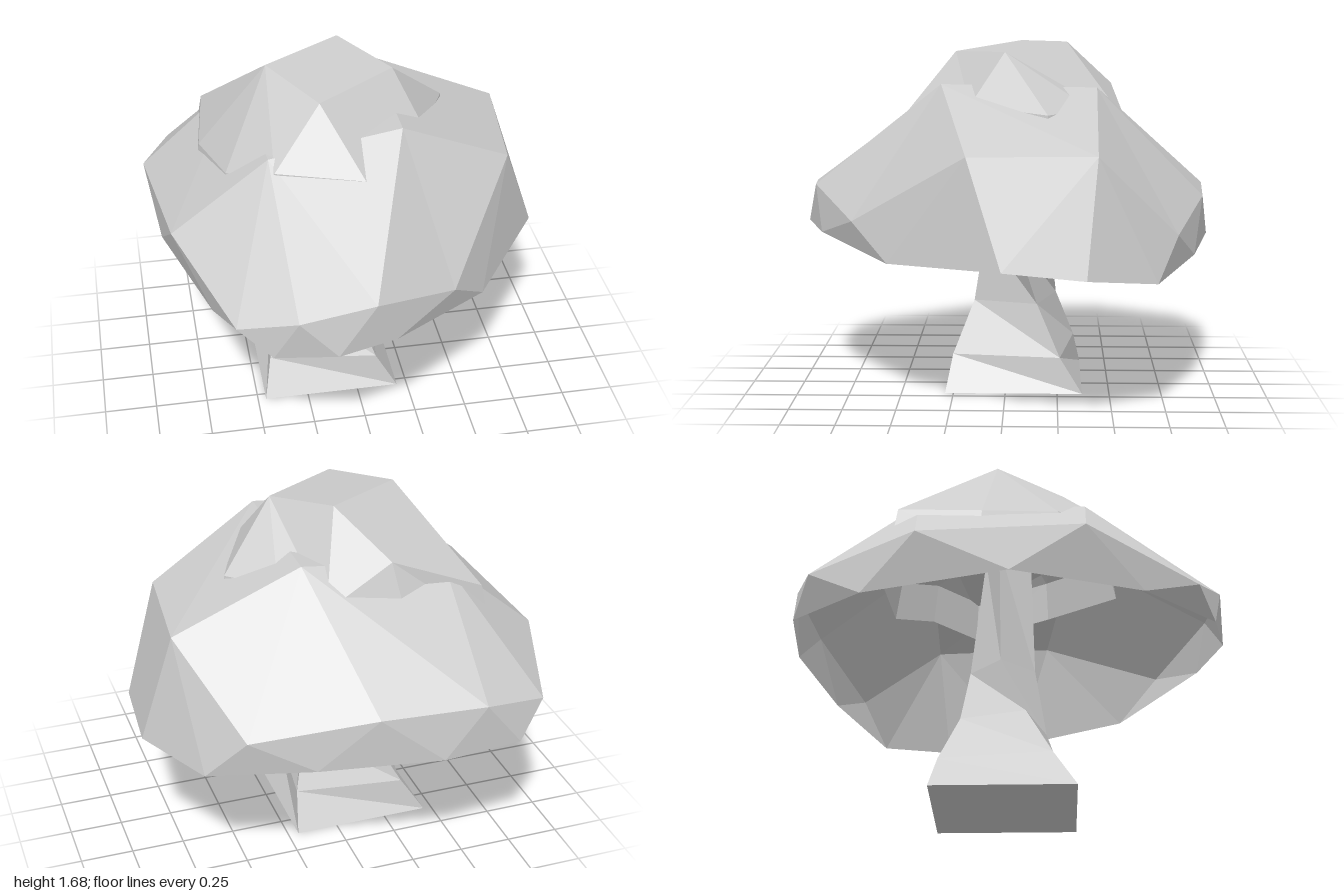
import * as THREE from 'three';

// Joins rings (bottom to top, each counter-clockwise from above) with flat facets.
function loft(name, rings, material, capTop, capBottom) {
  const out = [];
  const tri = (a, b, c) => out.push(...a, ...b, ...c);
  for (let k = 0; k + 1 < rings.length; k++) {
    const lo = rings[k], up = rings[k + 1];
    let i = 0, j = 0;
    while (i < lo.length || j < up.length) {
      const l = lo[i % lo.length], u = up[j % up.length];
      if (i < lo.length && (j >= up.length || i / lo.length < (j + 1) / up.length)) {
        tri(l, lo[++i % lo.length], u);
      } else {
        tri(l, up[++j % up.length], u);
      }
    }
  }
  const top = rings[rings.length - 1], base = rings[0];
  if (capTop) for (let i = 1; i + 1 < top.length; i++) tri(top[0], top[i], top[i + 1]);
  if (capBottom) for (let i = 1; i + 1 < base.length; i++) tri(base[0], base[i + 1], base[i]);
  const geometry = new THREE.BufferGeometry();
  geometry.setAttribute('position', new THREE.Float32BufferAttribute(out, 3));
  geometry.computeVertexNormals();
  const mesh = new THREE.Mesh(geometry, material);
  mesh.name = name;
  return mesh;
}

export function createModel() {
  const model = new THREE.Group();
  model.name = 'mushroom';
  const grey = new THREE.MeshStandardMaterial({ color: 0xcccccc, side: THREE.DoubleSide, flatShading: true });
  grey.name = 'pale grey';

  // Hollow cap: lower rim, shoulder and flat crown
  const rim = [
    [0.92, 0.73, 0], [0.945, 0.7, -0.37], [0.74, 0.65, -0.69], [0.28, 0.7, -0.89],
    [-0.28, 0.71, -1], [-0.66, 0.715, -0.97], [-0.87, 0.74, -0.65], [-0.9, 0.83, 0],
    [-0.72, 0.81, 0.6], [-0.49, 0.765, 0.93], [-0.21, 0.78, 0.99], [0.07, 0.765, 0.89],
    [0.55, 0.7, 0.53],
  ];
  const shoulder = [
    [0.8, 1.22, -0.42], [0.57, 0.84, -0.79], [0.01, 0.94, -0.95], [-0.48, 0.94, -0.99],
    [-0.8, 0.87, -0.89], [-0.95, 1, -0.41], [-0.87, 1.07, 0.34], [-0.64, 0.88, 0.85],
    [-0.38, 0.96, 0.97], [-0.03, 0.985, 0.93], [0.37, 0.865, 0.71], [0.74, 1.21, 0.16],
  ];
  const crown = [[0.2, 1.475, -0.43], [-0.48, 1.4, -0.44], [-0.42, 1.42, 0.35], [0.2, 1.49, 0.3]];
  model.add(loft('cap', [rim, shoulder, crown], grey, true, false));

  // Smaller dome pushing through the crown
  const domeTop = [[-0.37, 1.67, -0.07], [-0.17, 1.625, 0.25], [0.21, 1.64, 0], [0, 1.68, -0.29]];
  const domeSide = [
    [-0.64, 1.29, -0.52], [-0.69, 1.25, -0.13], [-0.6, 1.29, 0.22], [-0.4, 1.38, 0.41],
    [0, 1.34, 0.48], [0.33, 1.4, 0.16], [0.49, 1.37, -0.2], [0.3, 1.38, -0.4],
    [0.13, 1.31, -0.57], [-0.2, 1.47, -0.51],
  ];
  const domeSkirt = domeSide.map(([x, y, z]) => [x * 1.05, y - 0.2, z * 1.05]);
  domeSkirt[9] = [-0.25, 1.14, -0.64];
  model.add(loft('dome', [domeSkirt, domeSide, domeTop], grey, true, false));

  // Twisted square stem: height, centre x, centre z, corner radius, corner angle
  const stem = [
    [0, -0.13, -0.04, 0.467, 45], [0.17, -0.125, -0.04, 0.37, 37], [0.42, -0.1, -0.045, 0.226, 28],
    [0.75, 0.015, -0.055, 0.157, -2], [1.4, 0.05, -0.03, 0.12, -20],
  ].map(([y, cx, cz, r, deg]) => [0, 1, 2, 3].map((k) => {
    const a = THREE.MathUtils.degToRad(deg + 90 * k);
    return [cx + r * Math.cos(a), y, cz - r * Math.sin(a)];
  }));
  model.add(loft('stem', stem, grey, true, true));

  return model;
}
